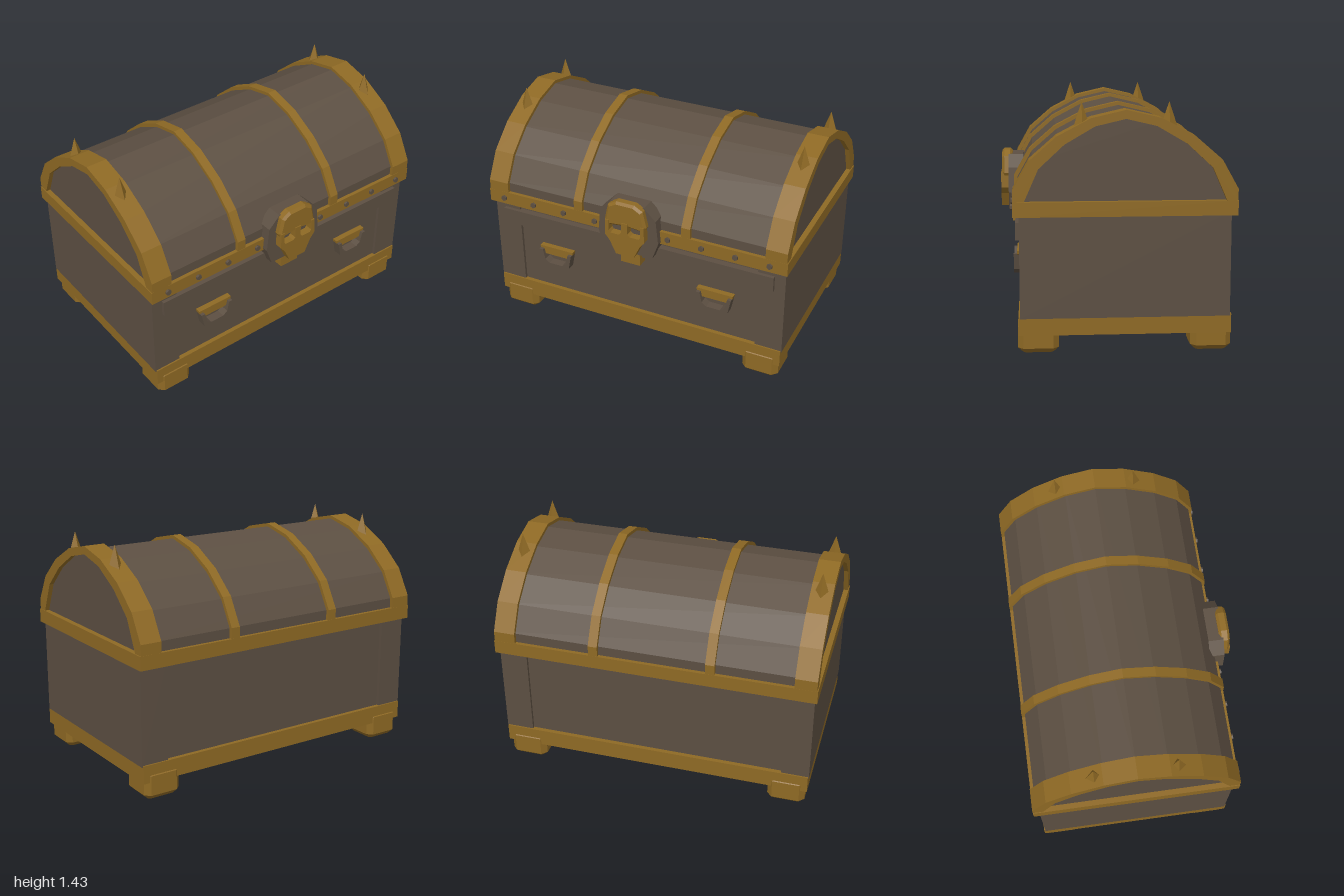
import * as THREE from 'three';

const wood = new THREE.MeshStandardMaterial({ color: 0x5c4f42 });
wood.name = 'dark wood';
const gold = new THREE.MeshStandardMaterial({ color: 0x8e6924 });
gold.name = 'old gold';

const ZC = -0.04; // middle of the chest, front to back

export function createModel() {
  const chest = new THREE.Group();
  chest.name = 'treasureChest';

  const add = (name, geometry, material, x = 0, y = 0, z = 0) => {
    const mesh = new THREE.Mesh(geometry, material);
    mesh.name = name;
    mesh.position.set(x, y, z);
    chest.add(mesh);
    return mesh;
  };
  // Box given by its lower and upper limits
  const box = (name, material, [x0, x1], [y0, y1], [z0, z1]) =>
    add(name, new THREE.BoxGeometry(x1 - x0, y1 - y0, z1 - z0), material,
      (x0 + x1) / 2, (y0 + y1) / 2, (z0 + z1) / 2);
  const toShape = (pts) => new THREE.Shape(pts.map(([x, y]) => new THREE.Vector2(x, y)));
  // Right half of an outline, top to bottom, completed by its mirror image
  const mirrored = (half) => [...half, ...half.map(([x, y]) => [-x, y]).reverse()];
  const plate = (name, material, pts, z0, z1, bevel = 0, x = 0) =>
    add(name, new THREE.ExtrudeGeometry(toShape(pts), {
      depth: z1 - z0 - bevel, bevelEnabled: bevel > 0, bevelSegments: 1,
      bevelSize: bevel, bevelOffset: -bevel, bevelThickness: bevel,
    }), material, x, 0, z0);

  // Body: recessed core with corner posts
  box('bodyCore', wood, [-0.975, 0.975], [0.2, 0.82], [ZC - 0.58, ZC + 0.58]);
  for (const s of [-1, 1]) {
    const xs = [s * 0.81, s * 0.983].sort((a, b) => a - b);
    box('cornerPosts', wood, xs, [0.21, 0.82], [ZC - 0.598, ZC + 0.598]);
  }
  box('frontRail', wood, [-0.915, 0.915], [0.65, 0.75], [0.53, 0.58]);

  // Base and chamfered feet
  box('base', gold, [-0.978, 0.978], [0.11, 0.22], [ZC - 0.607, ZC + 0.607]);
  const f = 0.117, c = 0.085;
  const footShape = toShape([[f, c], [c, f], [-c, f], [-f, c], [-f, -c], [-c, -f], [c, -f], [f, -c]]);
  const footGeo = new THREE.ExtrudeGeometry(footShape, {
    depth: 0.12, bevelSegments: 1, bevelSize: 0.03, bevelOffset: -0.03, bevelThickness: 0.03,
  }).rotateX(-Math.PI / 2);
  for (const x of [-0.847, 0.847])
    for (const s of [-1, 1]) add('foot', footGeo, gold, x, 0.03, ZC + s * 0.495);

  // Lid: faceted barrel, hooped with gold
  box('lidRim', gold, [-1, 1], [0.795, 0.88], [ZC - 0.633, ZC + 0.633]);
  const arch = (half) => [...half, ...half.slice(0, -1).reverse().map(([x, y]) => [-x, y])];
  const outer = arch([[0.632, 0.87], [0.632, 0.945], [0.54, 1.11], [0.385, 1.245], [0.195, 1.345], [0, 1.39]]);
  const barrel = arch([[0.61, 0.87], [0.61, 0.94], [0.523, 1.096], [0.374, 1.226], [0.188, 1.325], [0, 1.369]]);
  const inner = arch([[0.573, 0.87], [0.487, 1.065], [0.342, 1.2], [0.171, 1.3], [0, 1.34]]);
  const hoop = (name, pts, material, x0, x1) => add(name,
    new THREE.ExtrudeGeometry(toShape(pts), { depth: x1 - x0, bevelEnabled: false }).rotateY(Math.PI / 2),
    material, x0, 0, ZC);
  hoop('lidBarrel', barrel, wood, -0.967, 0.967);
  const frame = [...outer, ...[...inner].reverse()];
  hoop('endFrame', frame, gold, -0.995, -0.863);
  hoop('endFrame', frame, gold, 0.863, 0.995);
  hoop('lidBand', outer, gold, -0.39, -0.333);
  hoop('lidBand', outer, gold, 0.333, 0.39);

  // Spikes on the end frames
  const spikeGeo = new THREE.ConeGeometry(0.05, 0.15, 4).toNonIndexed();
  spikeGeo.computeVertexNormals();
  for (const x of [-0.927, 0.927])
    for (const z of [0.203, -0.285]) add('spike', spikeGeo, gold, x, 1.357, z);

  // Rivets along the front of the rim
  const rivetGeo = new THREE.CylinderGeometry(0.018, 0.018, 0.03, 6).toNonIndexed().rotateX(Math.PI / 2);
  rivetGeo.computeVertexNormals();
  for (const x of [0.247, 0.465, 0.68, 0.893])
    for (const s of [-1, 1]) add('rivet', rivetGeo, wood, s * x, 0.838, 0.592);

  // Lock: backing plate, skull face and clasp
  plate('lockBacking', wood, mirrored(
    [[0.11, 1.04], [0.185, 0.965], [0.2, 0.81], [0.16, 0.7]]), 0.535, 0.63);
  plate('skullBrow', gold, mirrored(
    [[0.06, 1.062], [0.115, 1.03], [0.138, 0.925], [0.12, 0.89], [0.025, 0.9]]), 0.62, 0.672, 0.015);
  // Cheeks and jaw, notched at the eyes
  plate('skullFace', gold, mirrored(
    [[0.02, 0.93], [0.02, 0.86], [0.035, 0.845], [0.095, 0.845], [0.105, 0.86], [0.105, 0.93],
      [0.128, 0.93], [0.132, 0.83], [0.1, 0.79], [0.06, 0.705]]), 0.615, 0.678);
  box('clasp', gold, [-0.065, 0.065], [0.605, 0.715], [0.54, 0.608]);

  // Drop handles on the front
  for (const x of [-0.547, 0.547]) {
    plate('handleMount', gold, mirrored([[0.118, 0.535], [0.115, 0.515], [0.085, 0.48]]), 0.53, 0.575, 0, x);
    plate('handleLoop', wood, [
      [0.115, 0.518], [0.095, 0.42], [0.055, 0.39], [-0.055, 0.39], [-0.095, 0.42], [-0.115, 0.518],
      [-0.09, 0.518], [-0.075, 0.45], [-0.045, 0.428], [0.045, 0.428], [0.075, 0.45], [0.09, 0.518],
    ], 0.535, 0.595, 0, x);
  }
  return chest;
}
